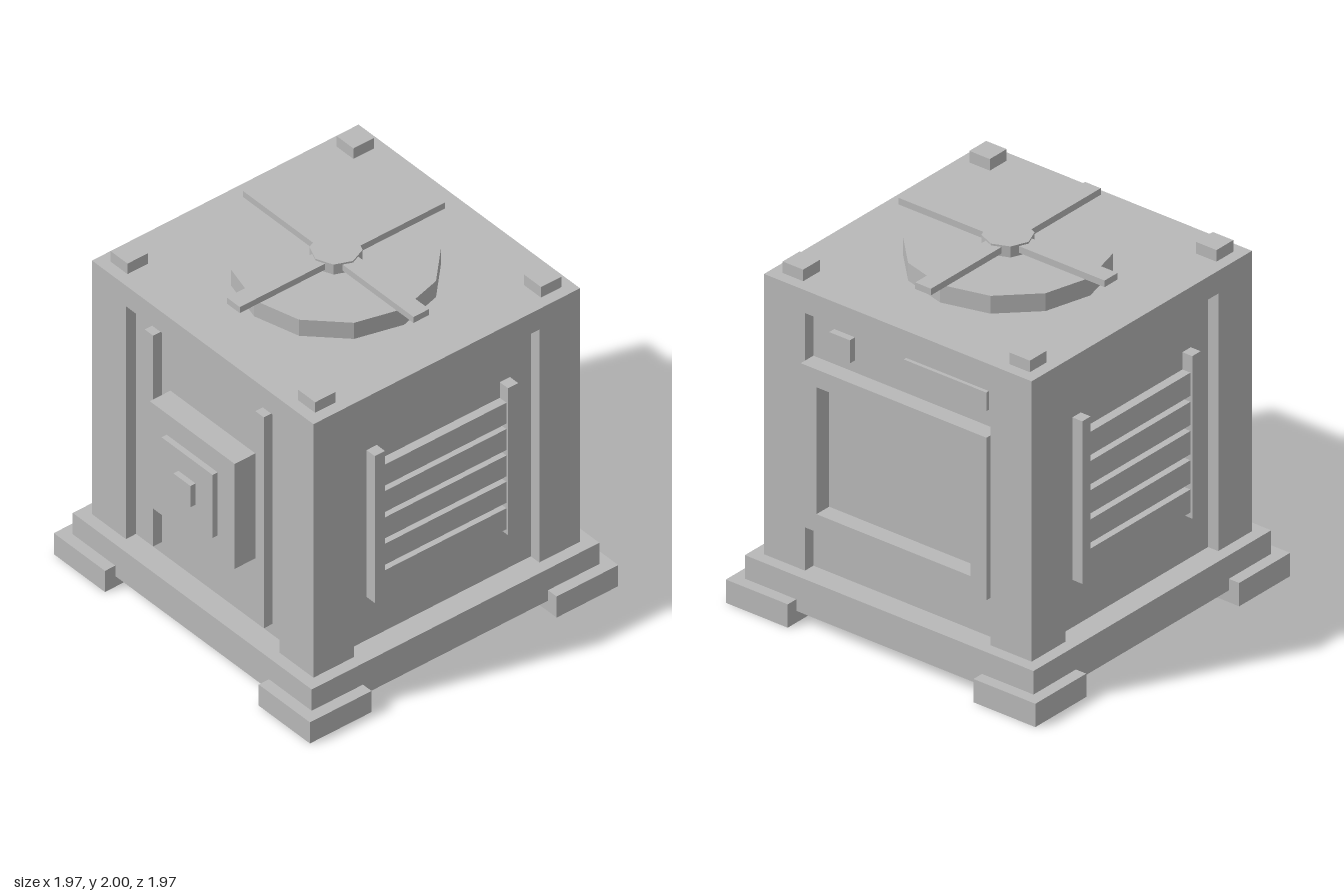
import * as THREE from 'three';

export function createModel() {
  const root = new THREE.Group();
  root.name = 'ventilationUnit';
  const grey = new THREE.MeshStandardMaterial({ color: 0xb8b8b8 });
  grey.name = 'lightGrey';

  const add = (name, geometry, parent = root) => {
    const mesh = new THREE.Mesh(geometry, grey);
    mesh.name = name;
    parent.add(mesh);
    return mesh;
  };
  // Box given by its lower and upper limits on each axis
  const box = (name, [x0, x1], [y0, y1], [z0, z1], parent) => {
    const mesh = add(name, new THREE.BoxGeometry(x1 - x0, y1 - y0, z1 - z0), parent);
    mesh.position.set((x0 + x1) / 2, (y0 + y1) / 2, (z0 + z1) / 2);
    return mesh;
  };
  // Upright prism with flat sides
  const prism = (name, radius, y0, y1, sides) => {
    const geometry = new THREE.CylinderGeometry(radius, radius, y1 - y0, sides).toNonIndexed();
    geometry.computeVertexNormals();
    add(name, geometry).position.y = (y0 + y1) / 2;
  };
  const corners = [[1, 1], [1, -1], [-1, -1], [-1, 1]];
  const PANEL = 0.785; // depth of the recessed side panels
  const FACE = 0.85;   // outer faces of the body

  // Base with a foot under each corner
  box('base', [-0.917, 0.917], [0.066, 0.263], [-0.917, 0.917]);
  for (const [sx, sz] of corners) {
    const foot = box('foot', [0.59, 0.983], [0, 0.131], [0.59, 0.983]);
    foot.position.x *= sx;
    foot.position.z *= sz;
    const block = box('topCornerBlock', [0.655, 0.785], [1.838, 1.903], [0.655, 0.785]);
    block.position.x *= sx;
    block.position.z *= sz;
  }

  // Body: a square plan with a shallow recess in each side, closed by a slab
  const plan = new THREE.Shape();
  const side = [[-FACE, -FACE], [-0.59, -FACE], [-0.59, -PANEL], [0.59, -PANEL], [0.59, -FACE]];
  const outline = [];
  for (let i = 0; i < 4; i++) {
    for (const [x, y] of side) {
      outline.push(new THREE.Vector2(x, y).rotateAround(new THREE.Vector2(), i * Math.PI / 2));
    }
  }
  plan.setFromPoints(outline);
  const bodyGeometry = new THREE.ExtrudeGeometry(plan, { depth: 1.71 - 0.262, bevelEnabled: false });
  bodyGeometry.rotateX(-Math.PI / 2);
  add('body', bodyGeometry).position.y = 0.262;
  box('roofSlab', [-FACE, FACE], [1.71, 1.838], [-FACE, FACE]);

  // Front: two upright rails and a stepped square boss
  for (const s of [-1, 1]) {
    box('frontRail', [0.392, 0.457], [0.33, 1.64], [PANEL, 0.84]).position.x *= s;
  }
  [[0.326, 0.917], [0.196, 0.95], [0.066, 0.983]].forEach(([half, z], i) =>
    box('bossStep' + (i + 1), [-half, half], [0.985 - half, 0.985 + half], [PANEL, z]));

  // Sides: louvres held between two rails, mirrored by turning the group
  for (const [name, turn] of [['leftLouvre', 0], ['rightLouvre', Math.PI]]) {
    const louvre = new THREE.Group();
    louvre.name = name;
    louvre.rotation.y = turn;
    root.add(louvre);
    for (const s of [-1, 1]) {
      box('louvreRail', [PANEL, 0.848], [0.53, 1.443], [0.392, 0.457], louvre).position.z *= s;
    }
    for (let i = 0; i < 5; i++) {
      const y = 0.56 + i * 0.164;
      box('louvreSlat', [PANEL, 0.836], [y, y + 0.13], [-0.392, 0.392], louvre);
    }
  }

  // Back: framed window with a knob and a long bar above it
  const rect = (Path, hx, y0, y1) => new Path([[-hx, y0], [hx, y0], [hx, y1], [-hx, y1]]
    .map(([x, y]) => new THREE.Vector2(x, y)));
  const frame = rect(THREE.Shape, 0.59, 0.53, 1.443);
  frame.holes.push(rect(THREE.Path, 0.49, 0.63, 1.343));
  add('backFrame', new THREE.ExtrudeGeometry(frame, { depth: 0.883 - PANEL, bevelEnabled: false }))
    .position.z = -0.883;
  box('backKnob', [0.326, 0.457], [1.51, 1.64], [-0.825, -PANEL]);
  box('backBar', [-0.525, 0], [1.535, 1.64], [-0.805, -PANEL]);

  // Roof fan: twelve-sided drum, crossed blades and hub
  prism('fanDrum', 0.523, 1.838, 1.938, 12);
  box('fanBladeAcross', [-0.655, 0.655], [1.953, 1.99], [-0.05, 0.05]);
  box('fanBladeAlong', [-0.05, 0.05], [1.953, 1.99], [-0.655, 0.655]);
  prism('fanHub', 0.131, 1.935, 2, 8);

  return root;
}
